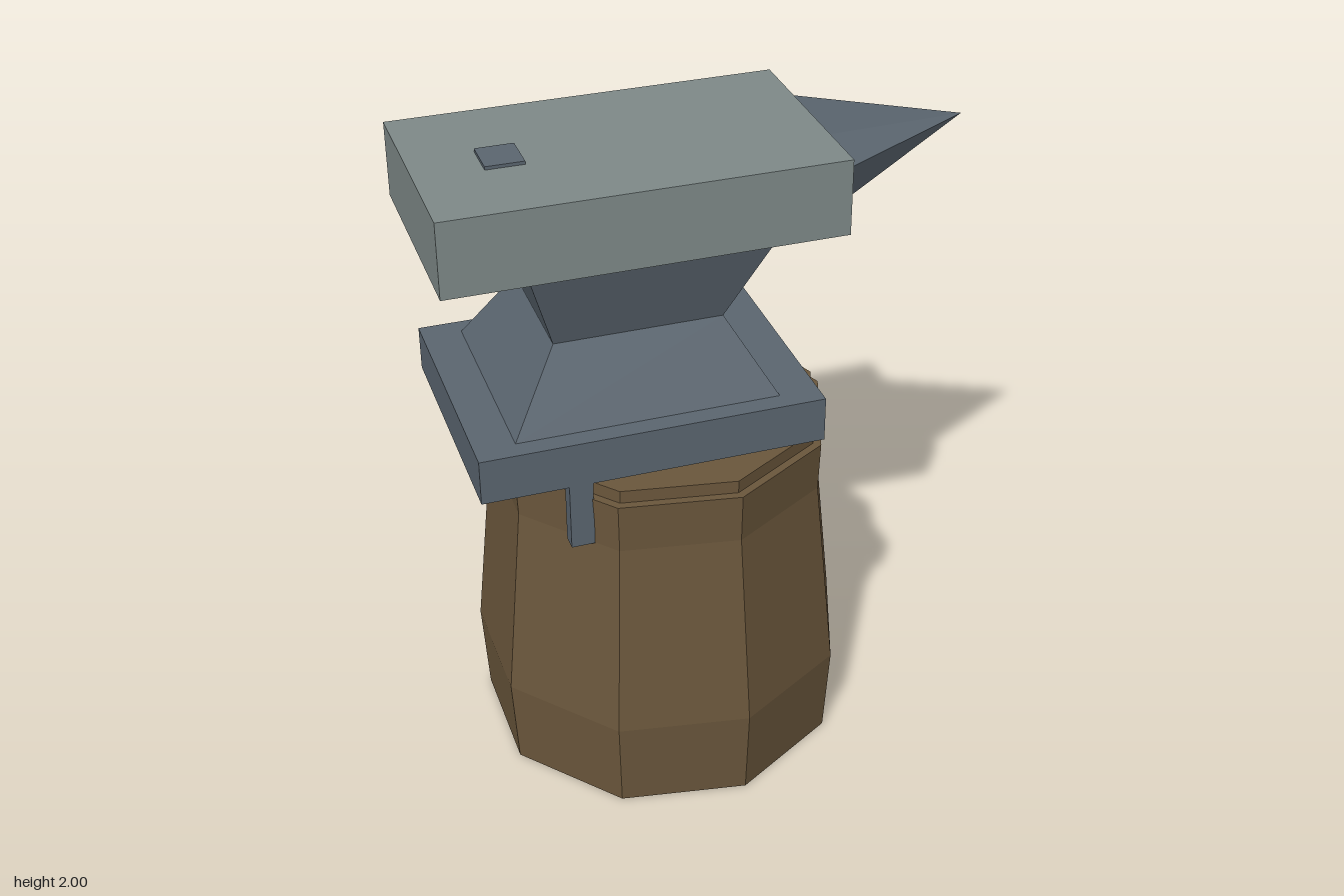
import * as THREE from 'three';
import { ConvexGeometry } from 'three/addons/geometries/ConvexGeometry.js';

function flat(name, color) {
  const m = new THREE.MeshStandardMaterial({ color, flatShading: true });
  m.name = name;
  return m;
}

export function createModel() {
  const model = new THREE.Group();
  model.name = 'anvilOnStump';
  const wood = flat('brown wood', 0x6b573c);
  const steel = flat('slate steel', 0x5b6670);
  const worn = flat('worn steel', 0x7f8a89);

  const add = (name, geometry, material) => {
    const mesh = new THREE.Mesh(geometry, material);
    mesh.name = name;
    model.add(mesh);
    return mesh;
  };

  // Box given by its lower and upper limits on each axis
  const block = (name, [x0, x1], [y0, y1], [z0, z1], material) => {
    const g = new THREE.BoxGeometry(x1 - x0, y1 - y0, z1 - z0);
    g.translate((x0 + x1) / 2, (y0 + y1) / 2, (z0 + z1) / 2);
    return add(name, g, material);
  };

  // Tapered block between two rectangles, each [y, xMin, xMax, half depth]
  const taper = (name, low, high, material) => {
    const points = [];
    for (const [y, x0, x1, d] of [low, high])
      for (const x of [x0, x1])
        for (const z of [-d, d]) points.push(new THREE.Vector3(x, y, z));
    return add(name, new ConvexGeometry(points), material);
  };

  // Nine-sided stump with a small raised top
  const profile = [[0, 0], [0.567, 0], [0.585, 0.29], [0.52, 0.92], [0.526, 1.075],
    [0.5, 1.075], [0.5, 1.115], [0, 1.115]].map(([r, y]) => new THREE.Vector2(r, y));
  const stump = add('stump', new THREE.LatheGeometry(profile, 9, Math.PI / 2), wood);
  stump.position.x = -0.13;

  // Anvil body
  block('basePlate', [-0.77, 0.26], [1.13, 1.27], [-0.39, 0.39], steel);
  taper('lowerWaist', [1.27, -0.65, 0.14, 0.33], [1.5, -0.5, 0.005, 0.213], steel);
  taper('upperWaist', [1.5, -0.5, 0.005, 0.213], [1.76, -0.58, 0.14, 0.287], steel);
  block('topBlock', [-0.83, 0.34], [1.76, 1.99], [-0.33, 0.33], worn);
  block('hardyHole', [-0.632, -0.518], [1.99, 2.0], [-0.055, 0.068], steel);

  // Horn: six-sided base drawn out to a point
  const horn = [new THREE.Vector3(0.82, 1.92, 0)];
  for (const [y, z] of [[1.985, 0.145], [1.92, 0.257], [1.793, 0.22]])
    for (const s of [-1, 1]) horn.push(new THREE.Vector3(0.335, y, s * z));
  add('horn', new ConvexGeometry(horn), steel);

  // Clamps holding the base plate to the stump
  block('frontClamp', [-0.515, -0.445], [0.92, 1.15], [0.34, 0.389], steel);
  block('backClamp', [-0.475, -0.405], [0.92, 1.15], [-0.389, -0.34], steel);
  block('sideClamp', [0.23, 0.278], [0.92, 1.19], [0.222, 0.29], steel);

  return model;
}
